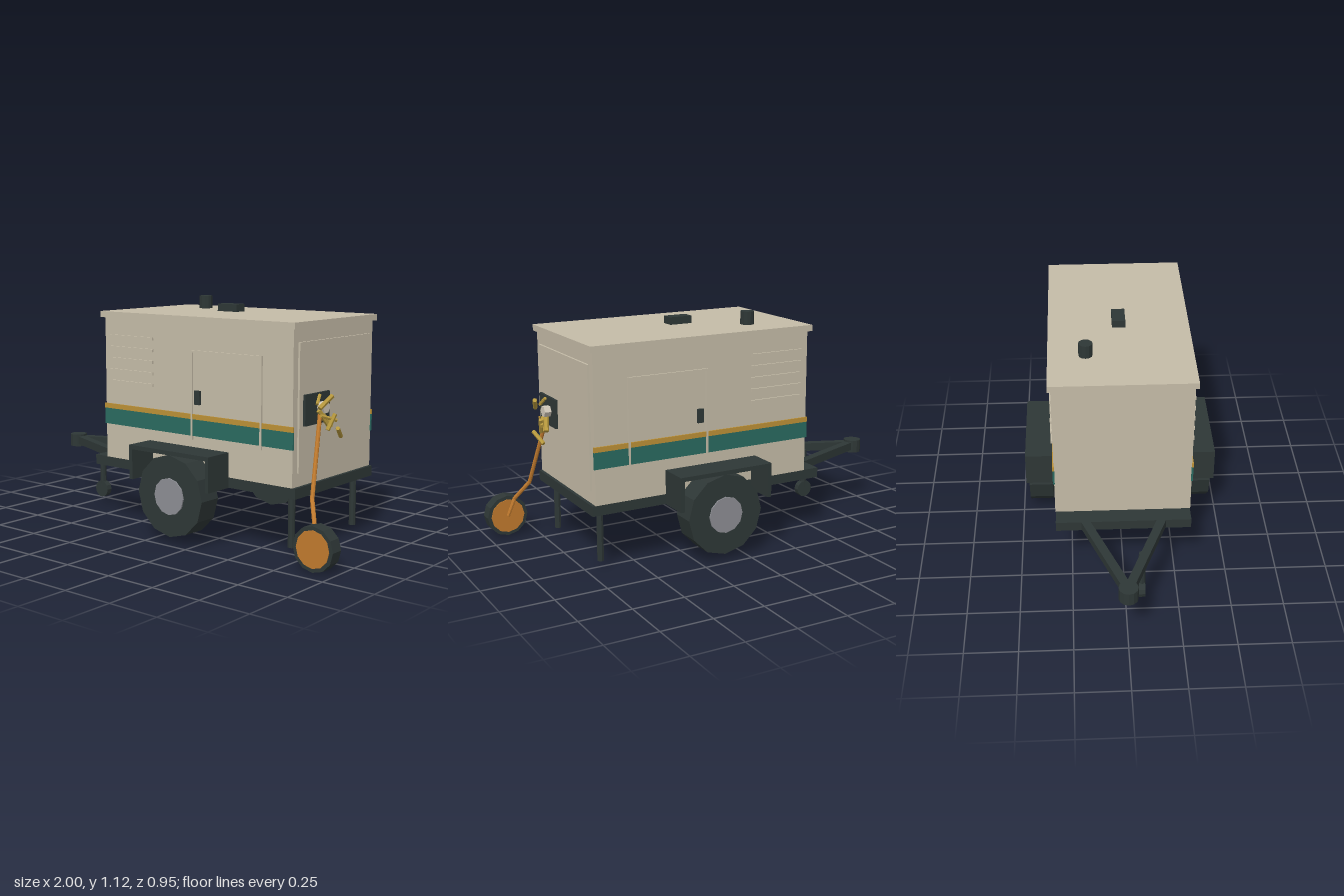
import * as THREE from 'three';

const mat = (name, color) => {
  const m = new THREE.MeshStandardMaterial({ color, flatShading: true });
  m.name = name;
  return m;
};

export function createModel() {
  const root = new THREE.Group();
  root.name = 'towableGenerator';

  const beige = mat('beigePanel', 0xc4bba7);
  const dark = mat('darkSteel', 0x2e3736);
  const teal = mat('tealStripe', 0x2a6a60);
  const gold = mat('goldStripe', 0xbc9036);
  const grey = mat('greyHub', 0x8c8d93);
  const copper = mat('copperOrange', 0xc07a2e);
  const brass = mat('brass', 0xb99a3e);
  const pale = mat('paleFitting', 0xd2cabb);

  const add = (name, geo, material, x = 0, y = 0, z = 0) => {
    const mesh = new THREE.Mesh(geo, material);
    mesh.name = name;
    mesh.position.set(x, y, z);
    root.add(mesh);
    return mesh;
  };
  // Box given by its lower and upper limits
  const box = (name, material, x0, x1, y0, y1, z0, z1) =>
    add(name, new THREE.BoxGeometry(x1 - x0, y1 - y0, z1 - z0), material,
      (x0 + x1) / 2, (y0 + y1) / 2, (z0 + z1) / 2);
  // Same box on the front (s = 1) or back (s = -1)
  const sideBox = (s, name, material, x0, x1, y0, y1, z0, z1) =>
    box(name, material, x0, x1, y0, y1, Math.min(s * z0, s * z1), Math.max(s * z0, s * z1));
  const upright = (name, material, r, h, x, y, z, n = 12) =>
    add(name, new THREE.CylinderGeometry(r, r, h, n), material, x, y, z);
  const disc = (name, material, r, w, x, y, z, n = 12) => {
    const geo = new THREE.CylinderGeometry(r, r, w, n).rotateX(Math.PI / 2);
    return add(name, geo, material, x, y, z);
  };
  // Straight rod between two points
  const rod = (name, material, r, a, b, n = 8) => {
    const p = new THREE.Vector3(...a), q = new THREE.Vector3(...b);
    const dir = q.clone().sub(p);
    const mesh = add(name, new THREE.CylinderGeometry(r, r, dir.length(), n), material);
    mesh.position.copy(p).add(q).multiplyScalar(0.5);
    mesh.quaternion.setFromUnitVectors(new THREE.Vector3(0, 1, 0), dir.normalize());
    return mesh;
  };

  // Chassis, cabinet and roof
  box('chassis', dark, -0.495, 0.735, 0.277, 0.326, -0.323, 0.323);
  box('cabinet', beige, -0.412, 0.72, 0.326, 1.027, -0.325, 0.325);
  box('roof', beige, -0.43, 0.735, 1.027, 1.057, -0.34, 0.34);
  upright('exhaustStack', dark, 0.033, 0.066, -0.17, 1.088, -0.163);
  box('roofCap', dark, 0.064, 0.18, 1.062, 1.098, -0.032, 0.032);

  for (const s of [1, -1]) {
    // Painted stripes
    sideBox(s, 'tealStripe', teal, -0.417, 0.725, 0.497, 0.576, 0.322, 0.331);
    sideBox(s, 'goldStripe', gold, -0.417, 0.725, 0.576, 0.6, 0.323, 0.332);

    // Door trim and handle
    for (const x of [0.148, 0.55])
      sideBox(s, 'doorTrimSide', beige, x - 0.005, x + 0.005, 0.478, 0.9, 0.324, 0.334);
    sideBox(s, 'doorTrimTop', beige, 0.143, 0.555, 0.89, 0.9, 0.324, 0.334);
    sideBox(s, 'doorHandle', dark, 0.169, 0.2, 0.647, 0.713, 0.324, 0.337);

    // Louvres
    for (let i = 0; i < 5; i++) {
      const y = 0.937 - i * 0.056;
      sideBox(s, 'louvre', beige, -0.375, -0.095, y - 0.007, y + 0.007, 0.324, 0.334);
    }

    // Fender
    sideBox(s, 'fenderTop', dark, -0.122, 0.365, 0.423, 0.443, 0.325, 0.473);
    sideBox(s, 'fenderEnd', dark, -0.122, -0.102, 0.277, 0.425, 0.325, 0.473);
    sideBox(s, 'fenderEnd', dark, 0.345, 0.365, 0.277, 0.425, 0.325, 0.473);

    // Road wheel
    disc('tyre', dark, 0.195, 0.118, 0.122, 0.225, s * 0.402);
    disc('hub', grey, 0.088, 0.126, 0.122, 0.225, s * 0.405);

    // Rear support leg
    upright('supportLeg', dark, 0.0165, 0.245, 0.672, 0.158, s * 0.257, 8);

    // Drawbar
    const bar = new THREE.Vector2(0.5, s * 0.197);
    const arm = add('drawbar', new THREE.BoxGeometry(bar.length(), 0.042, 0.042), dark,
      -0.7, 0.305, s * 0.0985);
    arm.rotation.y = -Math.atan2(bar.y, bar.x);
  }

  // Coupler and jockey wheel
  upright('coupler', dark, 0.045, 0.066, -0.955, 0.303, 0);
  upright('jockeyPost', dark, 0.0165, 0.21, -0.69, 0.19, 0.077, 8);
  disc('jockeyWheel', dark, 0.044, 0.03, -0.69, 0.076, 0.077);

  // End panel and socket plate
  box('endPanel', beige, 0.715, 0.73, 0.388, 0.968, -0.29, 0.29);
  box('socketPlate', dark, 0.725, 0.742, 0.596, 0.736, 0.068, 0.262);

  // Socket with a cluster of brass fittings
  rod('socket', pale, 0.028, [0.735, 0.67, 0.143], [0.775, 0.67, 0.143], 6);
  const fittings = [
    [0.011, [0.785, 0.675, 0.215], [0.81, 0.728, 0.152]],
    [0.008, [0.752, 0.728, 0.165], [0.765, 0.69, 0.205]],
    [0.014, [0.75, 0.66, 0.168], [0.775, 0.58, 0.11]],
    [0.01, [0.785, 0.57, 0.148], [0.8, 0.64, 0.112]],
    [0.009, [0.765, 0.635, 0.172], [0.8, 0.61, 0.1]],
    [0.01, [0.805, 0.533, 0.07], [0.83, 0.582, 0.135]],
  ];
  for (const [r, a, b] of fittings) rod('brassFitting', brass, r, a, b, 6);

  // Cable running down to the reel
  const path = [[0.75, 0.64, 0.158], [0.802, 0.285, 0.288], [0.86, 0.19, 0.353], [0.897, 0.104, 0.356]];
  for (let i = 0; i < path.length - 1; i++) rod('cable', copper, 0.01, path[i], path[i + 1]);

  // Cable reel
  disc('reelRim', dark, 0.103, 0.064, 0.897, 0.104, 0.39);
  for (const z of [0.356, 0.422]) disc('reelFace', copper, 0.085, 0.006, 0.897, 0.104, z);

  return root;
}
